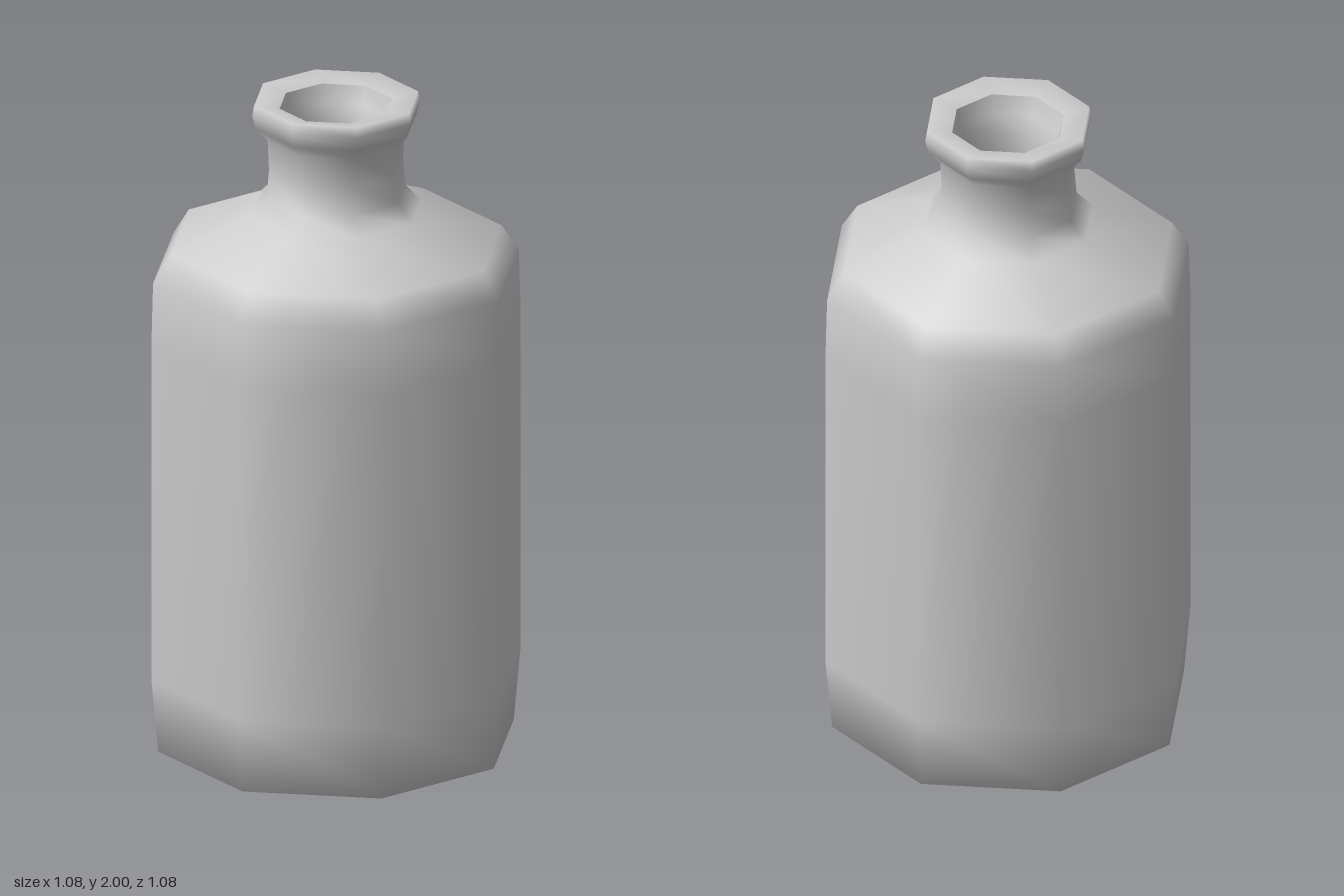
import * as THREE from 'three';

const SIDES = 8;
const material = new THREE.MeshStandardMaterial({ color: 0xcccccc, side: THREE.DoubleSide });

// Eight-sided revolved surface from [radius, height] pairs
function revolve(name, profile) {
  const points = profile.map(([r, y]) => new THREE.Vector2(r, y));
  const mesh = new THREE.Mesh(new THREE.LatheGeometry(points, SIDES), material);
  mesh.name = name;
  return mesh;
}

export function createModel() {
  const bottle = new THREE.Group();
  bottle.name = 'bottle';

  // Outer wall: base, body, shoulder, neck and rolled lip
  bottle.add(revolve('outerWall', [
    [0, 0], [0.36, 0.015], [0.52, 0.07], [0.54, 0.29], [0.54, 1.3],
    [0.535, 1.49], [0.485, 1.57], [0.25, 1.67], [0.203, 1.72], [0.196, 1.8],
    [0.2, 1.89], [0.235, 1.93], [0.245, 1.97], [0.24, 2], [0.165, 1.985],
  ]));

  // Inner wall: funnelled mouth, narrow throat and hollow inside
  bottle.add(revolve('innerWall', [
    [0.165, 1.985], [0.15, 1.93], [0.125, 1.88], [0.12, 1.7], [0.2, 1.63],
    [0.44, 1.53], [0.49, 1.45], [0.49, 0.29], [0.46, 0.11], [0, 0.06],
  ]));

  return bottle;
}
